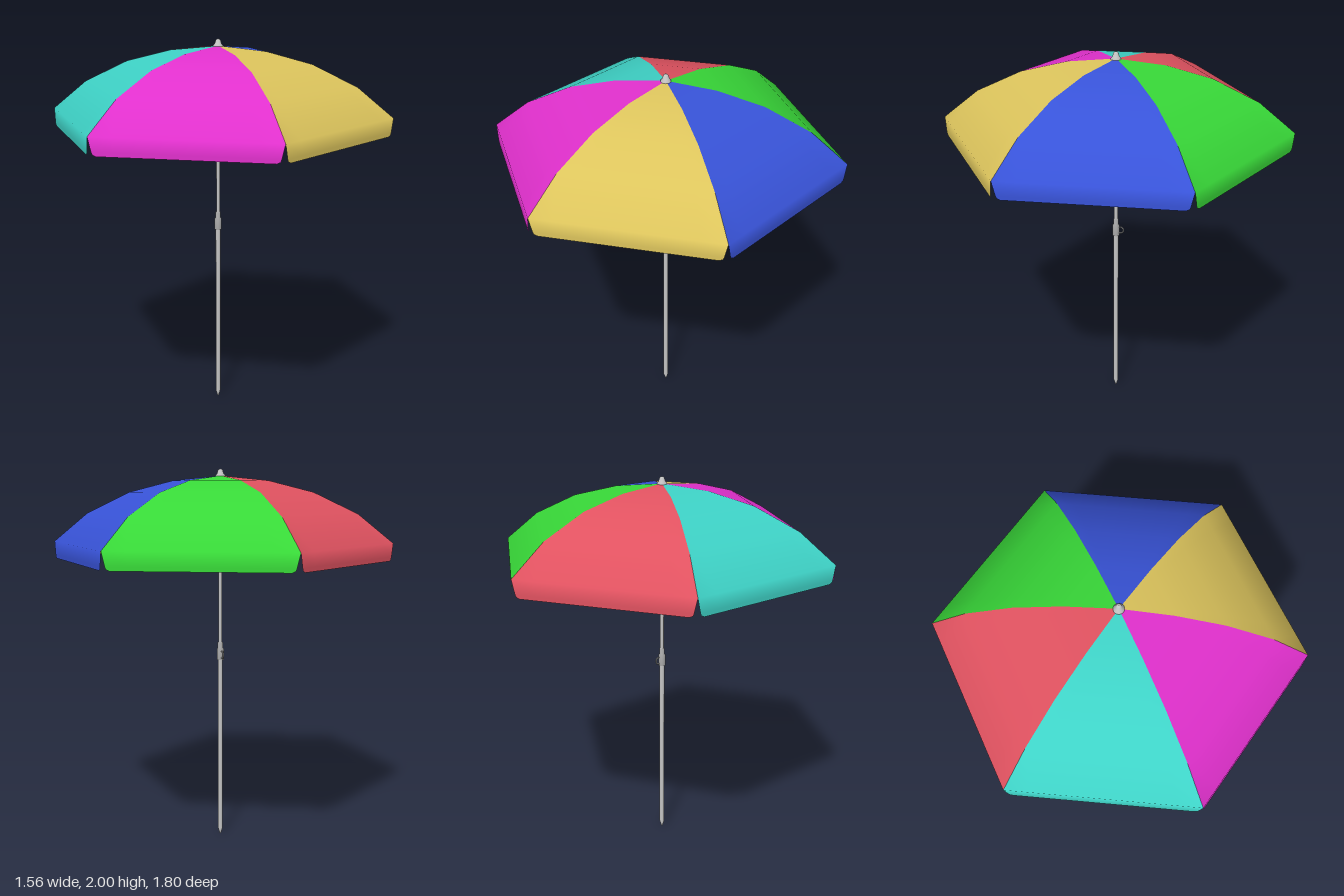
import * as THREE from 'three';

const mat = (name, color, side = THREE.FrontSide) => {
  const m = new THREE.MeshStandardMaterial({ color, side });
  m.name = name;
  return m;
};

// Canopy rib profile: [distance from the pole, height]
const RIB = [[0, 1.965], [0.25, 1.94], [0.485, 1.88], [0.715, 1.77], [0.9, 1.62]];
// Hanging flap: [half width, height]
const FLAP = [[0.434, 1.55], [0.429, 1.538], [0.412, 1.53]];
const COS30 = Math.cos(Math.PI / 6);

// One sixth of the canopy with its flap, as a smooth grid
function panelGeometry(angle) {
  const rows = [
    ...RIB.map(([r, y]) => [r * COS30, r / 2, y]),
    ...FLAP.map(([half, y]) => [0.9 * COS30, half, y]),
  ];
  const cols = 8, pos = [], index = [];
  const c = Math.cos(angle), s = Math.sin(angle);
  rows.forEach(([out, half, y], i) => {
    for (let j = 0; j <= cols; j++) {
      const t = half * (2 * j / cols - 1);
      pos.push(c * out - s * t, y, s * out + c * t);
      if (i < rows.length - 1 && j < cols) {
        const a = i * (cols + 1) + j, b = a + 1, d = a + cols + 1;
        if (i > 0) index.push(a, b, d);
        index.push(b, d + 1, d);
      }
    }
  });
  const g = new THREE.BufferGeometry();
  g.setAttribute('position', new THREE.Float32BufferAttribute(pos, 3));
  g.setIndex(index);
  g.computeVertexNormals();
  return g;
}

// Thin round bar between two points
function bar(name, from, to, radius, material) {
  const dir = to.clone().sub(from);
  const mesh = new THREE.Mesh(new THREE.CylinderGeometry(radius, radius, dir.length(), 8), material);
  mesh.position.copy(from).addScaledVector(dir, 0.5);
  mesh.quaternion.setFromUnitVectors(new THREE.Vector3(0, 1, 0), dir.normalize());
  mesh.name = name;
  return mesh;
}

export function createModel() {
  const model = new THREE.Group();
  model.name = 'parasol';
  const metal = mat('pole metal', 0xc4c4c4);
  const fittings = mat('fitting metal', 0xacacac);

  const lathe = (name, points, material) => {
    const pts = points.map(([r, y]) => new THREE.Vector2(r, y));
    const mesh = new THREE.Mesh(new THREE.LatheGeometry(pts, 20), material);
    mesh.name = name;
    model.add(mesh);
  };

  // Pole in two telescoping lengths
  lathe('lowerPole', [[0, 0], [0.004, 0.003], [0.013, 0.035], [0.013, 1.0], [0, 1.0]], metal);
  lathe('upperPole', [[0.01, 0.98], [0.01, 1.96]], metal);

  // Height clamp with a loop handle at the back
  lathe('clamp', [[0.013, 0.99], [0.019, 0.99], [0.019, 1.05], [0.014, 1.053], [0.014, 1.085], [0.01, 1.085]], fittings);
  const handle = new THREE.Mesh(new THREE.TorusGeometry(0.018, 0.004, 8, 20), fittings);
  handle.rotation.y = Math.PI / 2;
  handle.position.set(0, 1.02, -0.023);
  handle.name = 'clampHandle';
  model.add(handle);

  // Finial on the canopy
  lathe('finial', [[0.026, 1.955], [0.026, 1.967], [0.018, 1.975], [0.013, 1.992], [0.007, 1.999], [0, 2]], metal);

  // Top hub and sliding runner
  lathe('topHub', [[0.01, 1.925], [0.026, 1.925], [0.026, 1.95], [0.01, 1.95]], fittings);
  lathe('runner', [[0.01, 1.67], [0.017, 1.67], [0.017, 1.71], [0.028, 1.715], [0.028, 1.735], [0.01, 1.735]], fittings);

  // Canopy panels, starting at the model's left and turning to the front
  const colours = [
    ['blue', 0x3853d8], ['yellow', 0xdcc45c], ['magenta', 0xe030cc],
    ['teal', 0x3ed2c6], ['red', 0xe05260], ['green', 0x38d838],
  ];
  const canopy = new THREE.Group();
  canopy.name = 'canopy';
  const frame = new THREE.Group();
  frame.name = 'frame';
  model.add(canopy, frame);

  colours.forEach(([name, hex], k) => {
    const angle = k * Math.PI / 3;
    const panel = new THREE.Mesh(panelGeometry(angle), mat(name + ' fabric', hex, THREE.DoubleSide));
    panel.name = name + 'Panel';
    canopy.add(panel);

    // Rib under each seam and its stretcher to the runner
    const seam = angle + Math.PI / 6;
    const at = (r, y) => new THREE.Vector3(r * Math.cos(seam), y, r * Math.sin(seam));
    for (let i = 0; i < RIB.length - 1; i++) {
      const [r0, y0] = RIB[i], [r1, y1] = RIB[i + 1];
      frame.add(bar('rib', at(r0, y0 - 0.011), at(r1 - 0.006, y1 - 0.009), 0.004, fittings));
    }
    frame.add(bar('stretcher', at(0.024, 1.725), at(0.46, 1.875), 0.004, fittings));
  });

  return model;
}
